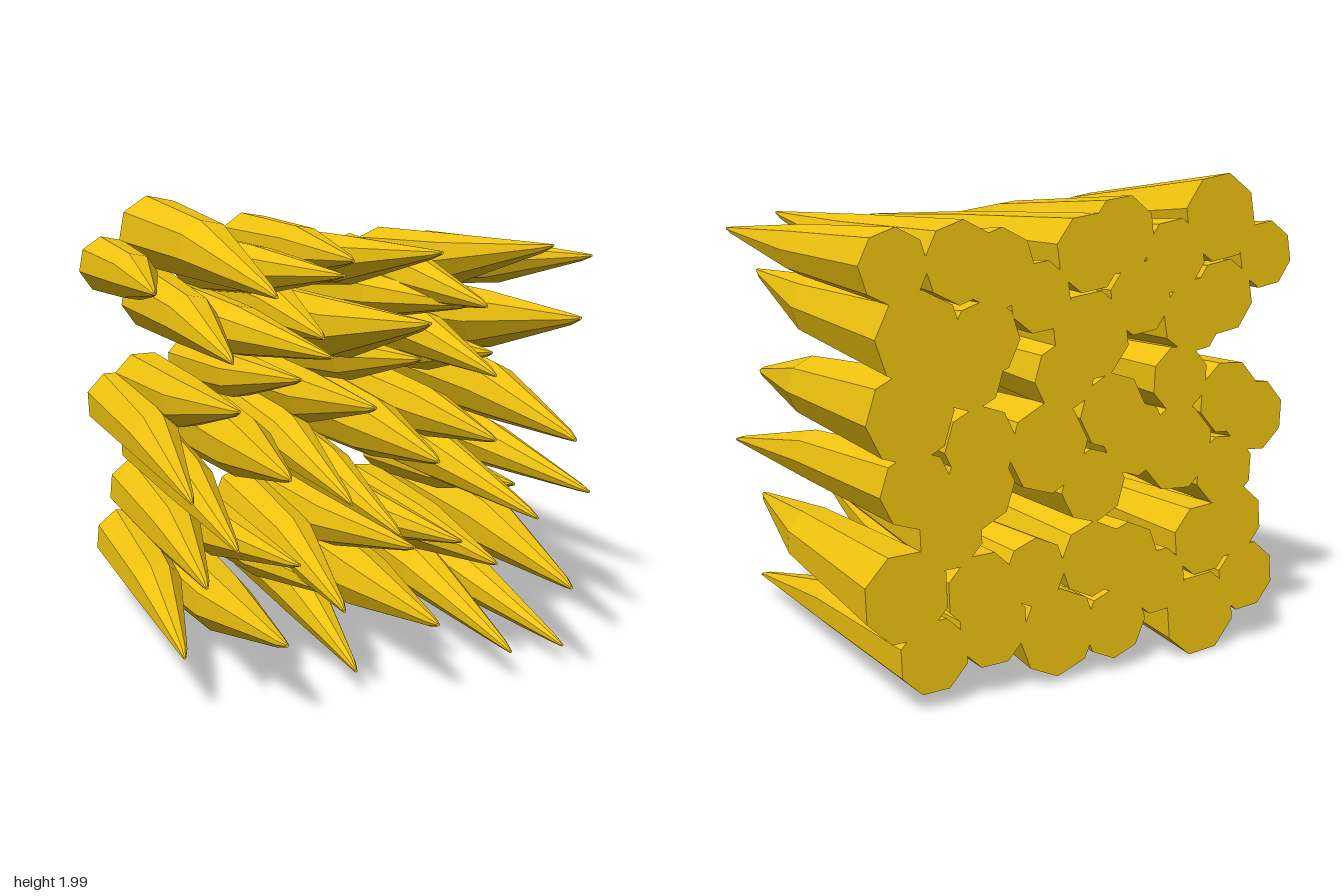
import * as THREE from 'three';

const BACK = -0.96;
const SIDES = 8;
const rad = THREE.MathUtils.degToRad;

// spike outline as (radius factor, fraction of length): bulging shaft, long taper, blunt tip
const PROFILE = [[0, 0], [1, 0], [0.74, 0.51], [0.13, 0.955], [0.04, 1], [0, 1]];

// one cluster of five spikes: distance and angle from the main spike,
// then the direction and amount of lean, radius and tip depth
const SPIKES = [
  { name: 'mainSpike', dist: 0, angle: 0, leanAngle: 149, lean: 0.17, radius: 0.18, tipZ: 0.95 },
  { name: 'upperSpike', dist: 0.32, angle: 144, leanAngle: 102, lean: 0.145, radius: 0.155, tipZ: 0.8 },
  { name: 'outerSpike', dist: 0.41, angle: 166, leanAngle: 230, lean: 0.14, radius: 0.155, tipZ: 0.83 },
  { name: 'lowerSpike', dist: 0.27, angle: 205, leanAngle: 255, lean: 0.135, radius: 0.15, tipZ: 0.72 },
  { name: 'shortSpike', dist: 0.283, angle: 91, leanAngle: 67, lean: 0.125, radius: 0.14, tipZ: 0.55 },
];

// three by three clusters: main spike x and y, turn in degrees
const CLUSTERS = [
  [-0.61, 1.825, 122], [0.01, 1.38, -56], [0.75, 1.41, -22],
  [-0.42, 0.9, 0], [0.2, 0.96, 14], [0.79, 1.13, 60],
  [-0.56, 0.18, -53], [0.145, 0.215, -24], [0.81, 0.46, 40],
];

// Leaning spike: each ring slides toward the tip as it shrinks
function spikeGeometry({ dist, angle, leanAngle, lean, radius, tipZ }) {
  const points = PROFILE.map(([r, t]) => new THREE.Vector2(r, t));
  const geometry = new THREE.LatheGeometry(points, SIDES);
  geometry.rotateX(Math.PI / 2).rotateZ(rad(25));
  const p = geometry.attributes.position;
  for (let i = 0; i < p.count; i++) {
    const x = p.getX(i), y = p.getY(i), t = p.getZ(i);
    const slide = t < 0.001 ? 0 : lean * (1 - Math.hypot(x, y));
    p.setXYZ(i,
      x * radius + slide * Math.cos(rad(leanAngle)),
      y * radius + slide * Math.sin(rad(leanAngle)),
      BACK + (tipZ - BACK) * t);
  }
  geometry.translate(dist * Math.cos(rad(angle)), dist * Math.sin(rad(angle)), 0);
  geometry.computeVertexNormals();
  return geometry;
}

export function createModel() {
  const model = new THREE.Group();
  model.name = 'spikeBlock';
  const material = new THREE.MeshStandardMaterial({ color: 0xf1c40f, flatShading: true });
  const parts = SPIKES.map((spike) => ({ name: spike.name, geometry: spikeGeometry(spike) }));

  for (const [x, y, turn] of CLUSTERS) {
    const cluster = new THREE.Group();
    cluster.name = 'spikeCluster';
    cluster.position.set(x, y, 0);
    cluster.rotation.z = rad(turn);
    for (const { name, geometry } of parts) {
      const mesh = new THREE.Mesh(geometry, material);
      mesh.name = name;
      cluster.add(mesh);
    }
    model.add(cluster);
  }
  return model;
}
